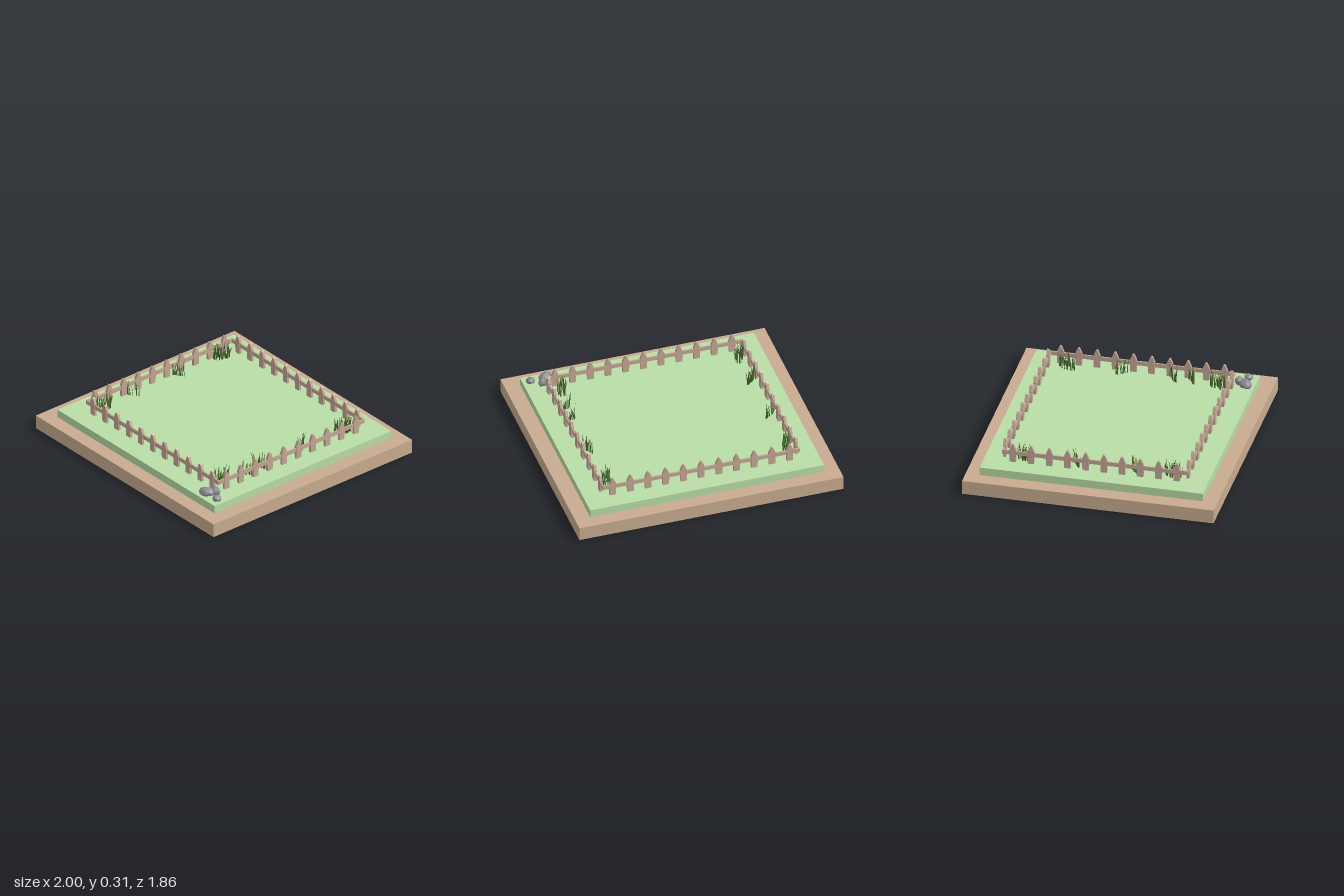
import * as THREE from 'three';
import { mergeVertices } from 'three/addons/utils/BufferGeometryUtils.js';

const mat = (color, extra = {}) => new THREE.MeshStandardMaterial({ color, ...extra });
const soil = mat(0xc8ab90);
const lawnGreen = mat(0xb9dda6);
const wood = mat(0xc4a795, { flatShading: true });
const leaf = mat(0x4b6b33, { side: THREE.DoubleSide });
const stone = mat(0x8c8c94, { flatShading: true });
const GROUND = 0.167;

// small seeded random generator
let seed = 7;
const rnd = (a, b) => {
  seed = (seed * 16807) % 2147483647;
  return a + (b - a) * (seed / 2147483647);
};

function mesh(name, geometry, material, x = 0, y = 0, z = 0) {
  const m = new THREE.Mesh(geometry, material);
  m.name = name;
  m.position.set(x, y, z);
  return m;
}

// pointed picket board, standing on y = 0, centred in depth
function picketGeometry() {
  const s = new THREE.Shape();
  s.moveTo(-0.023, 0);
  s.lineTo(0.023, 0);
  s.lineTo(0.025, 0.095);
  s.lineTo(0.009, 0.135);
  s.lineTo(0, 0.143);
  s.lineTo(-0.009, 0.135);
  s.lineTo(-0.025, 0.095);
  s.closePath();
  const g = new THREE.ExtrudeGeometry(s, { depth: 0.02, bevelEnabled: false });
  return g.translate(0, 0, -0.01);
}

// one straight run of fence along local x
function fenceRun(name, length, count, spacing, picket) {
  const run = new THREE.Group();
  run.name = name;
  run.add(mesh('rail', new THREE.BoxGeometry(length, 0.031, 0.012), wood, 0, 0.0715, 0));
  for (let i = 0; i < count; i++) {
    run.add(mesh('picket', picket, wood, (i - (count - 1) / 2) * spacing, 0, 0));
  }
  return run;
}

// tuft of tapered, bent blades rooted at the given [x, z] points
function tuft(name, roots) {
  const pos = [], idx = [];
  const STEPS = 4;
  for (const [x, z] of roots) {
    const h = rnd(0.08, 0.14), w = rnd(0.004, 0.0065);
    const lean = rnd(0, Math.PI * 2), bend = rnd(0.008, 0.026);
    const face = rnd(0, Math.PI);
    const start = pos.length / 3;
    for (let i = 0; i <= STEPS; i++) {
      const t = i / STEPS;
      const half = w * (1 - t * t) + 0.0003;
      const cx = x + Math.cos(lean) * bend * t * t;
      const cz = z + Math.sin(lean) * bend * t * t;
      for (const side of [-1, 1]) {
        pos.push(cx + side * half * Math.cos(face), h * t, cz + side * half * Math.sin(face));
      }
      if (i < STEPS) {
        const a = start + i * 2;
        idx.push(a, a + 1, a + 3, a, a + 3, a + 2);
      }
    }
  }
  const g = new THREE.BufferGeometry();
  g.setAttribute('position', new THREE.Float32BufferAttribute(pos, 3));
  g.setIndex(idx);
  g.computeVertexNormals();
  return mesh(name, g, leaf);
}

// roots in a short slanted row
function rowRoots(length, angle, count) {
  return Array.from({ length: count }, (_, i) => {
    const d = (i / (count - 1) - 0.5) * length;
    return [d * Math.cos(angle) + rnd(-0.004, 0.004), d * Math.sin(angle) + rnd(-0.004, 0.004)];
  });
}

// roots around a narrow slanted ring
function ringRoots(rx, rz, count) {
  return Array.from({ length: count }, (_, i) => {
    const a = (i / count) * Math.PI * 2;
    const z = Math.sin(a) * rz;
    return [Math.cos(a) * rx - z * 0.25 + rnd(-0.006, 0.006), z + rnd(-0.006, 0.006)];
  });
}

// lumpy faceted boulder
function rock(x, z, rx, h, rz, turn) {
  const g0 = new THREE.IcosahedronGeometry(1, 1);
  g0.deleteAttribute('normal');
  g0.deleteAttribute('uv');
  const g = mergeVertices(g0, 1e-3);
  const p = g.attributes.position;
  for (let i = 0; i < p.count; i++) {
    const k = rnd(0.88, 1.06);
    p.setXYZ(i, p.getX(i) * k * rx, Math.max(p.getY(i) * k, -0.55) * h, p.getZ(i) * k * rz);
  }
  g.computeVertexNormals();
  const m = mesh('rock', g, stone, x, GROUND + h * 0.5, z);
  m.rotation.y = turn;
  return m;
}

export function createModel() {
  const model = new THREE.Group();
  model.name = 'fencedGarden';

  // stepped ground
  model.add(mesh('soilBase', new THREE.BoxGeometry(2, 0.106, 1.864), soil, 0, 0.053, 0));
  model.add(mesh('lawn', new THREE.BoxGeometry(1.77, 0.062, 1.655), lawnGreen, 0, 0.136, -0.002));

  // fence on four sides
  const fence = new THREE.Group();
  fence.name = 'fence';
  fence.position.y = GROUND;
  const picket = picketGeometry();
  for (const [name, z] of [['frontFence', 0.668], ['backFence', -0.692]]) {
    const run = fenceRun(name, 1.49, 11, 0.134, picket);
    run.position.set(0.002, 0, z);
    fence.add(run);
  }
  for (const [name, x] of [['rightFence', -0.738], ['leftFence', 0.742]]) {
    const run = fenceRun(name, 1.36, 10, 0.135, picket);
    run.rotation.y = Math.PI / 2;
    run.position.set(x, 0, -0.01);
    fence.add(run);
  }
  model.add(fence);

  // thick tufts in the corners
  for (const [x, z] of [[-0.688, -0.55], [0.675, -0.55], [-0.688, 0.565], [0.65, 0.575]]) {
    const t = tuft('cornerGrass', [...ringRoots(0.026, 0.058, 22), ...rowRoots(0.07, -0.6, 7)]);
    t.position.set(x, GROUND, z);
    model.add(t);
  }

  // thin tufts along the sides: x, z, slant
  for (const [x, z, a] of [
    [-0.69, -0.155, -0.65], [-0.69, 0.275, -0.65],
    [0.685, -0.155, 1.1], [0.685, 0.228, -0.65], [0.685, 0.365, -0.65],
  ]) {
    const t = tuft('sideGrass', rowRoots(0.09, a, 10));
    t.position.set(x, GROUND, z);
    model.add(t);
  }

  // rocks by the front corner
  const rocks = new THREE.Group();
  rocks.name = 'rocks';
  rocks.add(rock(0.715, 0.757, 0.062, 0.036, 0.045, 0.7));
  rocks.add(rock(0.748, 0.705, 0.039, 0.037, 0.034, 0.2));
  rocks.add(rock(0.828, 0.758, 0.033, 0.026, 0.033, 0.4));
  model.add(rocks);

  return model;
}
